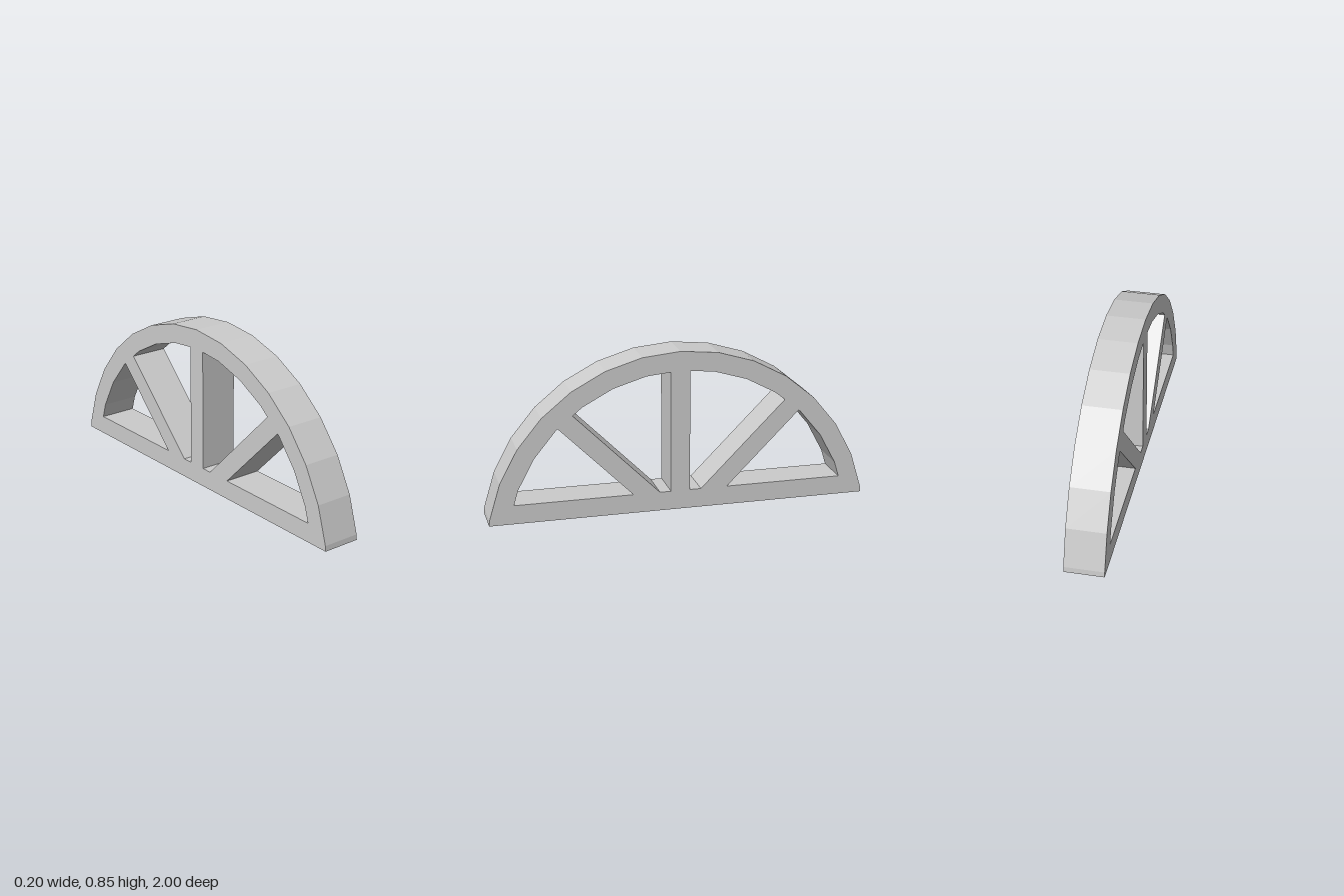
import * as THREE from 'three';

const OUTER = 1.017, INNER = 0.916, CENTRE_Y = -0.17; // circle below the base line
const STEP = Math.PI / 16;                            // 32-sided arc
const BAR = 0.1, DEPTH = 0.203;                       // base bar height, thickness

// Point i of a ring, counted in steps from the top
const ring = (r, i) => [r * Math.sin(i * STEP), CENTRE_Y + r * Math.cos(i * STEP)];

// Where the inner ring's side i..i+1 meets the line a*u + b*v = c
function cut(i, a, b, c) {
  const p = ring(INNER, i), q = ring(INNER, i + 1);
  const dp = a * p[0] + b * p[1] - c, dq = a * q[0] + b * q[1] - c;
  const t = dp / (dp - dq);
  return [p[0] + (q[0] - p[0]) * t, p[1] + (q[1] - p[1]) * t];
}

const toVectors = (points) => points.map(([u, v]) => new THREE.Vector2(u, v));

export function createModel() {
  const group = new THREE.Group();
  group.name = 'archedWindowFrame';

  // Outline: faceted arch closed by a flat base
  const outline = [[-1, 0], [1, 0]];
  for (let i = 7; i >= -7; i--) outline.push(ring(OUTER, i));
  const shape = new THREE.Shape(toVectors(outline));

  // Openings between the upright, the 45 degree spokes, the bar and the arch
  const low = 0.15, high = 0.01; // spoke edges: v = u - low and v = u - high
  const outerOpening = [
    [BAR + low, BAR], cut(6, 0, 1, BAR),
    ring(INNER, 6), ring(INNER, 5), ring(INNER, 4), cut(3, 1, -1, low),
  ];
  const innerOpening = [
    [0.051, BAR], [BAR + high, BAR], cut(3, 1, -1, high),
    ring(INNER, 3), ring(INNER, 2), ring(INNER, 1), cut(0, 1, 0, 0.051),
  ];
  for (const opening of [outerOpening, innerOpening]) {
    for (const side of [1, -1]) {
      shape.holes.push(new THREE.Path(toVectors(opening.map(([u, v]) => [side * u, v]))));
    }
  }

  // Extrude across x, with the arch spanning z
  const geometry = new THREE.ExtrudeGeometry(shape, { depth: DEPTH, bevelEnabled: false });
  geometry.translate(0, 0, -DEPTH / 2);
  geometry.rotateY(-Math.PI / 2);

  const frame = new THREE.Mesh(
    geometry,
    new THREE.MeshStandardMaterial({ color: 0xcccccc, flatShading: true })
  );
  frame.name = 'archWithSpokes';
  group.add(frame);
  return group;
}
